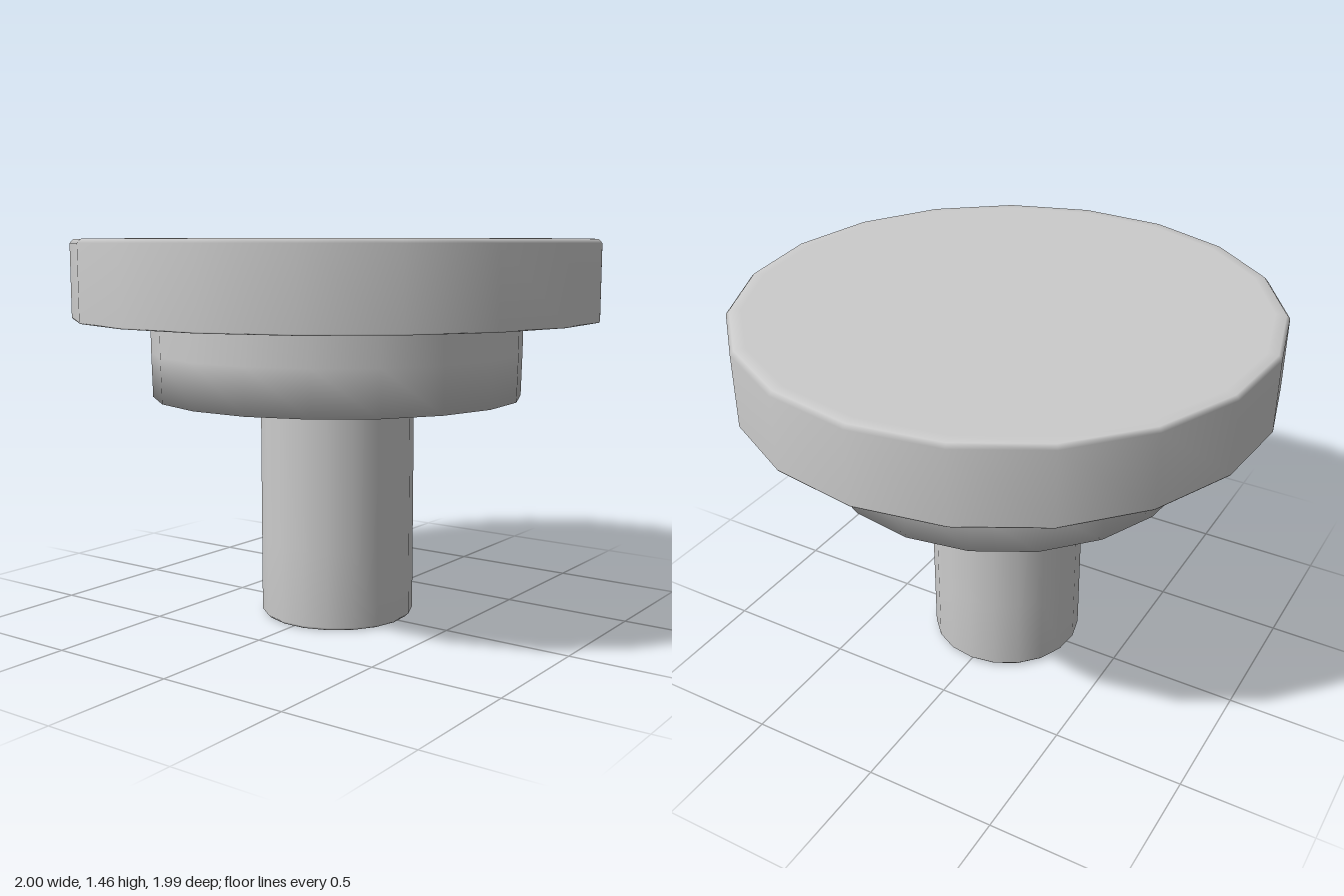
import * as THREE from 'three';

const SIDES = 19;
const CEILING = 1.16; // underside of the disc and roof of the pocket

// Smooth solid of revolution from [radius, height] pairs, one corner facing the back
function turned(name, profile, material) {
  const points = profile.map(([r, y]) => new THREE.Vector2(r, y));
  const mesh = new THREE.Mesh(new THREE.LatheGeometry(points, SIDES, Math.PI), material);
  mesh.name = name;
  return mesh;
}

export function createModel() {
  const group = new THREE.Group();
  group.name = 'knob';
  const material = new THREE.MeshStandardMaterial({ color: 0xcccccc });

  // Round stem, rising into the pocket
  group.add(turned('stem', [
    [0, 0], [0.285, 0], [0.297, 0.012], [0.297, 0.3], [0.297, CEILING],
  ], material));

  // Collar with a hollow pocket around the stem
  group.add(turned('collar', [
    [0.29, CEILING], [0.437, CEILING], [0.437, 0.87], [0.447, 0.86],
    [0.708, 0.86], [0.712, 1.03], [0.713, CEILING],
  ], material));

  // Wide disc with a finely bevelled top rim
  group.add(turned('disc', [
    [0.7, CEILING], [1.0, CEILING], [1.0034, 1.165],
    [1.0034, 1.44], [0.99, 1.455], [0.95, 1.456], [0, 1.456],
  ], material));

  // An odd number of sides is not symmetric front to back, so centre it
  group.children.forEach((part) => { part.position.z = 0.007; });
  return group;
}
